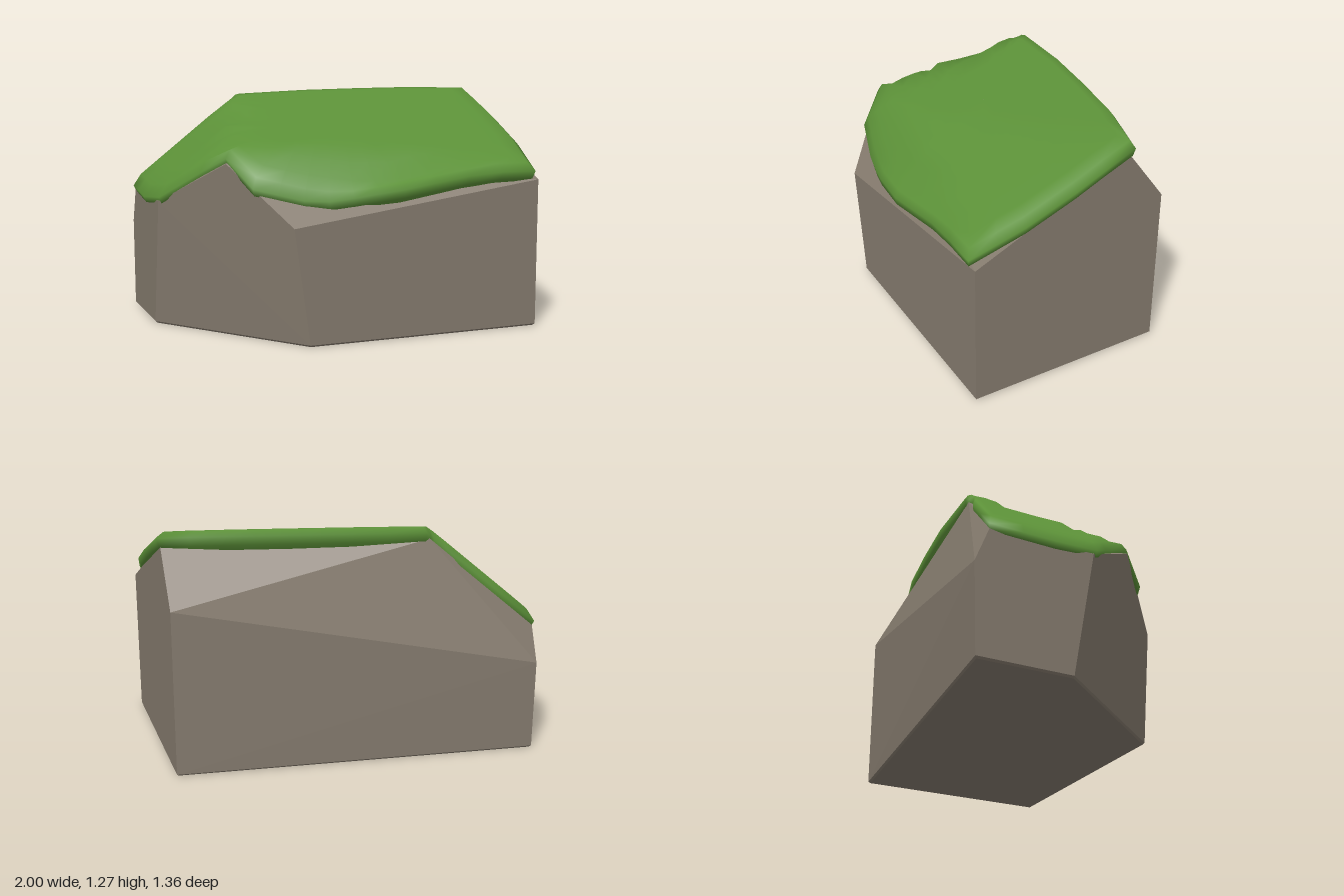
import * as THREE from 'three';
import { ConvexGeometry } from 'three/addons/geometries/ConvexGeometry.js';

const rockMat = new THREE.MeshStandardMaterial({ color: 0x857b6e });
rockMat.name = 'warm grey stone';
const mossMat = new THREE.MeshStandardMaterial({ color: 0x5c9138, side: THREE.DoubleSide });
mossMat.name = 'moss green';

// Faceted boulder: five-cornered base, sloped top, chamfered back and left
function makeRock() {
  const corners = [
    [0.96, 0, 0.64], [0.96, 0, -0.43], [-0.96, 0, -0.66], [-0.96, 0, -0.15], [-0.34, 0, 0.64],
    [0.97, 0.01, 0.65], [0.97, 0.01, -0.44], [-0.97, 0.01, -0.67], [-0.97, 0.01, -0.15], [-0.345, 0.01, 0.65],
    [0.97, 0.81, 0.65], [-0.43, 0.62, 0.65], [-0.7, 0.93, 0.36], // front top edge
    [-0.97, 0.7, -0.02], [-0.97, 0.7, -0.6], [-0.97, 0.5, -0.68], // left side
    [0.97, 0.9, -0.44], [0.97, 1.2, -0.22], [-0.42, 1.18, -0.46], // back chamfer and ridge
  ];
  return new ConvexGeometry(corners.map((p) => new THREE.Vector3(...p)));
}

// Height of the moss top: lowest of the planes lying just above the rock
function mossHeight(x, z) {
  const zc = Math.min(z, 0.6);
  return Math.min(
    1.18 - 0.42 * z, // front slope
    1.146 + 0.063 * x - 0.283 * z, // crest
    1.245 + 0.86 * (x + 0.41), // left slope
    1.53 + 0.136 * x - 1.196 * zc, // front chamfer
  );
}

// Moss blanket: rings shrinking from the tucked-in underside to the middle of the top
function makeMoss() {
  const outline = [
    [-0.98, -0.61], [-0.58, -0.51], [-0.45, -0.45], [-0.4, -0.47], [0, -0.44], [0.34, -0.39], [0.68, -0.33],
    [0.99, -0.24], [1, 0.1], [0.99, 0.38], [0.94, 0.67], [0.55, 0.66], [0.17, 0.68], [-0.1, 0.64],
    [-0.35, 0.58], [-0.6, 0.5], [-0.8, 0.21], [-0.97, 0], [-1, -0.25],
  ];
  const rim = [];
  outline.forEach(([x, z], i) => {
    const [nx, nz] = outline[(i + 1) % outline.length];
    rim.push([x, z], [(x + nx) / 2, (z + nz) / 2]);
  });
  // [scale, drop below the moss top]
  const rings = [[0.9, 0.12], [0.985, 0.085], [1, 0.04], [0.96, 0.005], [0.88, 0], [0.75, 0],
    [0.6, 0], [0.45, 0], [0.3, 0], [0.15, 0], [0.001, 0]];
  const n = rim.length, pos = [], index = [];
  rings.forEach(([s, drop], r) => {
    rim.forEach(([x, z], i) => {
      const px = x * s, pz = 0.05 + (z - 0.05) * s;
      pos.push(px, mossHeight(px, pz) - drop, pz);
      if (r === rings.length - 1) return;
      const a = r * n + i, b = r * n + (i + 1) % n;
      index.push(a, a + n, b, b, a + n, b + n);
    });
  });
  const geo = new THREE.BufferGeometry();
  geo.setAttribute('position', new THREE.Float32BufferAttribute(pos, 3));
  geo.setIndex(index);
  geo.computeVertexNormals();
  return geo;
}

export function createModel() {
  const group = new THREE.Group();
  group.name = 'mossyRock';
  const rock = new THREE.Mesh(makeRock(), rockMat);
  rock.name = 'rock';
  const moss = new THREE.Mesh(makeMoss(), mossMat);
  moss.name = 'mossBlanket';
  group.add(rock, moss);
  return group;
}
